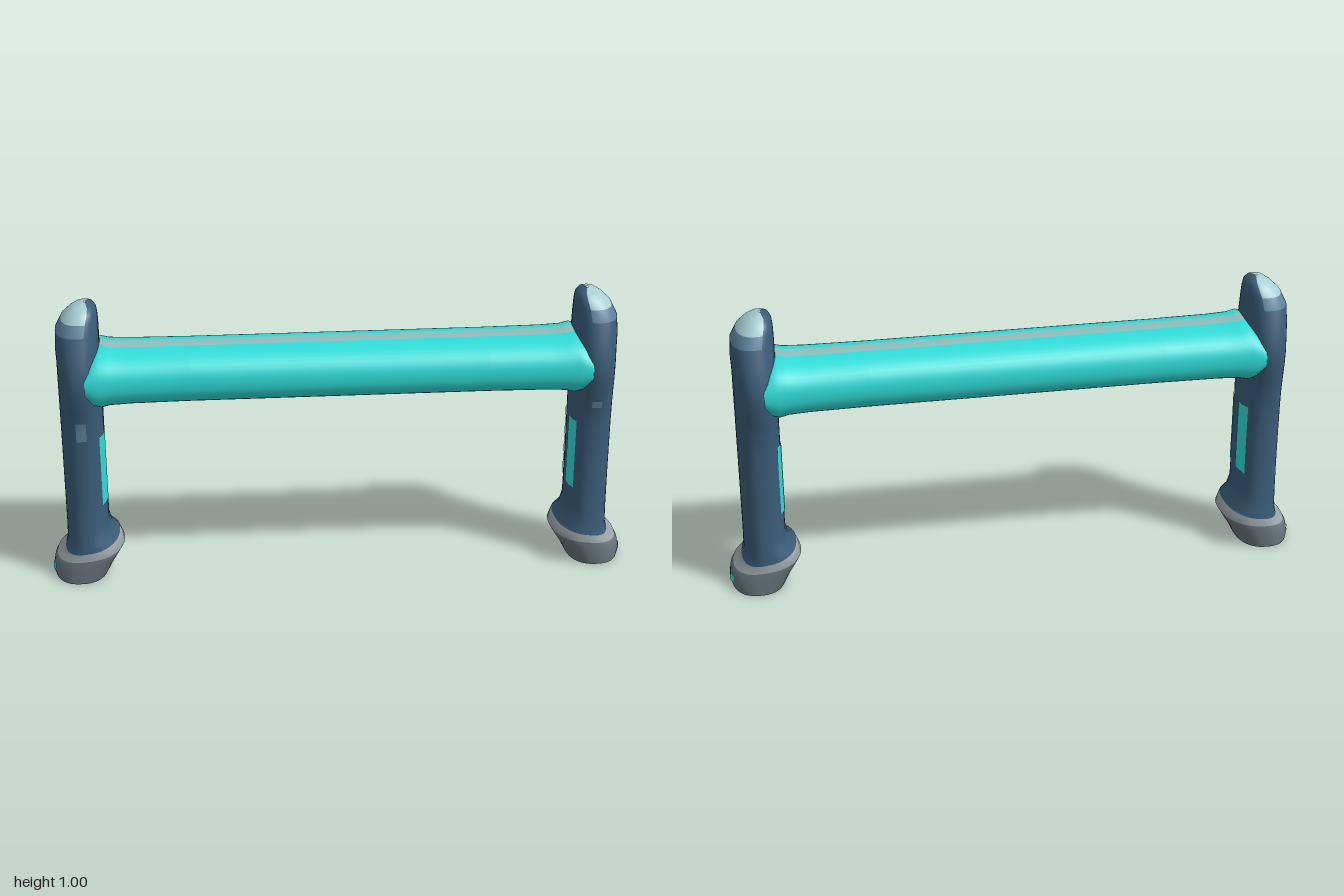
import * as THREE from 'three';

const mat = (name, color) => Object.assign(new THREE.MeshStandardMaterial({ color }), { name });

// signed power, turns a circle into a slightly squared oval
const oval = (v) => Math.sign(v) * Math.pow(Math.abs(v), 0.85);

// Smooth grid from point(row, column); pick() chooses a material index per face
function grid(point, rows, cols, closed, flip, pick, materials, name) {
  const pos = [], lists = materials.map(() => []);
  const stride = closed ? cols : cols + 1;
  for (let i = 0; i <= rows; i++) for (let j = 0; j < stride; j++) pos.push(...point(i, j));
  for (let i = 0; i < rows; i++) for (let j = 0; j < cols; j++) {
    const k = closed ? (j + 1) % cols : j + 1;
    const a = i * stride + j, b = a + stride, c = (i + 1) * stride + k, d = i * stride + k;
    lists[pick(i, j)].push(...(flip ? [a, c, b, a, d, c] : [a, b, c, a, c, d]));
  }
  const g = new THREE.BufferGeometry();
  g.setAttribute('position', new THREE.Float32BufferAttribute(pos, 3));
  g.setIndex(lists.flat());
  let start = 0;
  lists.forEach((l, m) => { g.addGroup(start, l.length, m); start += l.length; });
  g.computeVertexNormals();
  const mesh = new THREE.Mesh(g, materials);
  mesh.name = name;
  return mesh;
}

// Upright sections: height, inner x, outer x, half depth, lift of the inner edge
const POST = [
  [0, 0.9, 0.9, 0, 0], [0, 0.81, 0.995, 0.133, 0], [0, 0.81, 0.995, 0.133, 0],
  [0.02, 0.79, 1.0, 0.135, 0.02], [0.05, 0.765, 0.995, 0.135, 0.03],
  [0.07, 0.75, 0.985, 0.134, 0.035], [0.095, 0.765, 0.955, 0.132, 0.045],
  [0.13, 0.79, 0.946, 0.128, 0.03], [0.2, 0.8, 0.945, 0.12, 0],
  [0.3, 0.8, 0.945, 0.113, 0], [0.42, 0.8, 0.945, 0.111, 0],
  [0.52, 0.8, 0.945, 0.113, 0], [0.59, 0.8, 0.945, 0.119, 0],
  [0.65, 0.8, 0.945, 0.132, 0], [0.7, 0.8, 0.945, 0.145, 0],
  [0.75, 0.8, 0.945, 0.151, 0], [0.8, 0.8, 0.945, 0.145, 0],
  [0.85, 0.8, 0.947, 0.129, 0], [0.91, 0.8, 0.944, 0.108, 0],
  [0.95, 0.801, 0.924, 0.09, 0], [0.975, 0.804, 0.898, 0.072, 0],
  [0.992, 0.812, 0.876, 0.046, 0], [1, 0.838, 0.845, 0.005, 0],
];

// Point on the upright; angle 0 faces outward, PI faces the bar
function postPoint([y, xi, xo, zh, lift], angle, side, offset = 0) {
  const c = Math.cos(angle), s = Math.sin(angle);
  return [
    side * ((xi + xo) / 2 + ((xo - xi) / 2 + offset) * oval(c)),
    y + lift * (1 - c) / 2,
    (zh + offset) * oval(s),
  ];
}

function sectionAt(y) {
  let i = 3;
  while (POST[i + 1][0] < y) i++;
  const t = (y - POST[i][0]) / (POST[i + 1][0] - POST[i][0]);
  return POST[i].map((v, k) => v + (POST[i + 1][k] - v) * t);
}

export function createModel() {
  const navy = mat('navy', 0x3a5c78), cyan = mat('cyan', 0x30dcd8), paleCyan = mat('paleCyan', 0x8cbfbe);
  const grey = mat('grey', 0x66747c), lightGrey = mat('lightGrey', 0x9ca6aa);
  const capLight = mat('capLight', 0xa9cfd4), capBlue = mat('capBlue', 0x5f84a0);
  const model = new THREE.Group();
  model.name = 'hurdle';

  // Crossbar with flared ends that wrap into the uprights
  const half = [[0.85, 0.07, 0.151], [0.825, 0.098, 0.153], [0.8, 0.108, 0.152],
    [0.77, 0.1, 0.149], [0.7, 0.097, 0.145], [0.5, 0.096, 0.14]];
  const bar = [...half.map(([x, h, d]) => [-x, h, d]), ...half.slice().reverse()];
  const N = 40;
  model.add(grid((i, j) => {
    const a = j / N * Math.PI * 2, [x, h, d] = bar[i];
    return [x, 0.747 + h * oval(Math.cos(a)), d * oval(Math.sin(a))];
  }, bar.length - 1, N, true, true, (i, j) => (j === 0 || j === N - 1 ? 1 : 0), [cyan, paleCyan], 'crossbar'));

  for (const side of [1, -1]) {
    const group = new THREE.Group();
    group.name = side > 0 ? 'leftUpright' : 'rightUpright';

    // Upright with banded foot and slanted cap
    const pick = (i, j) => {
      const y = POST[i][0];
      if (y < 0.07) return 1;
      if (y < 0.095) return 2;
      if (y < 0.91 || Math.cos((j + 0.5) / N * Math.PI * 2) < -0.3) return 0;
      return y < 0.95 ? 4 : 3;
    };
    group.add(grid((i, j) => postPoint(POST[i], j / N * Math.PI * 2, side),
      POST.length - 1, N, true, side < 0, pick, [navy, grey, lightGrey, capLight, capBlue], 'post'));

    // Thin painted patches that follow the upright's surface
    const patch = (name, y0, y1, a0, a1, material) => group.add(grid(
      (i, j) => postPoint(sectionAt(y0 + (y1 - y0) * i / 6), a0 + (a1 - a0) * j / 6, side, 0.003),
      6, 6, false, side < 0, () => 0, [material], name));
    for (const m of [1, -1]) {
      const span = (from, to) => (m > 0 ? [from, to] : [-to, -from]);
      patch('innerStripe', 0.28, 0.54, ...span(Math.PI - 0.75, Math.PI - 0.16), cyan);
      patch('footMark', 0.022, 0.048, ...span(0.14, 0.48), cyan);
    }
    const y = side > 0 ? 0.605 : 0.54;
    patch('frontMark', y, side > 0 ? 0.63 : 0.61, 1.4, 1.75, capBlue);
    model.add(group);
  }
  return model;
}
